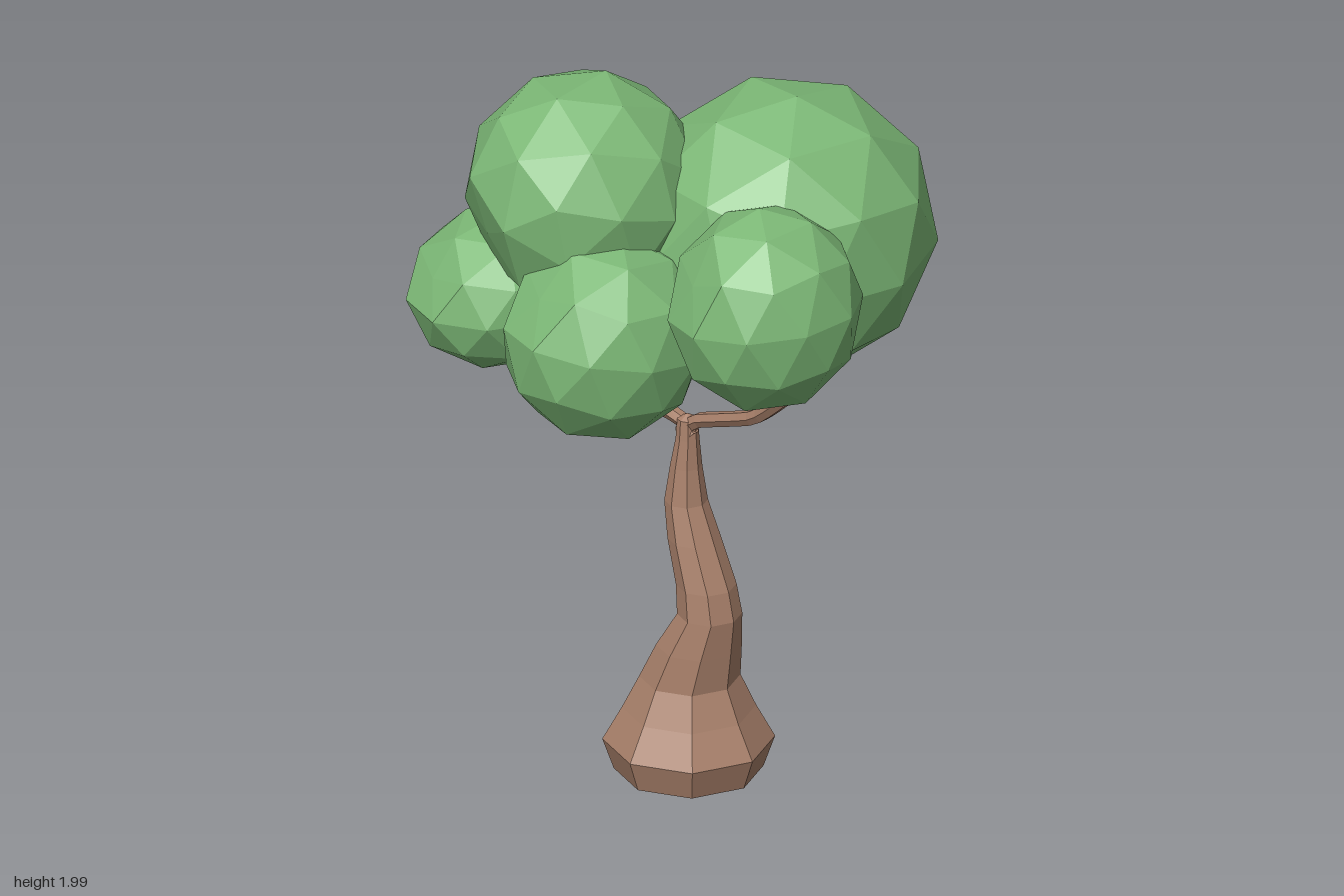
import * as THREE from 'three';

const bark = new THREE.MeshStandardMaterial({ color: 0xa8806a, flatShading: true });
const leaf = new THREE.MeshStandardMaterial({ color: 0x7cb876, flatShading: true });
const UP = new THREE.Vector3(0, 1, 0);

function add(group, name, geometry, material) {
  const mesh = new THREE.Mesh(geometry, material);
  mesh.name = name;
  group.add(mesh);
  return mesh;
}

// Eight-sided lathe whose rings [y, centreX, radius] are shifted to make the trunk sway
function trunkGeometry(rings) {
  const geo = new THREE.LatheGeometry(rings.map(([y, , r]) => new THREE.Vector2(r, y)), 8);
  const pos = geo.attributes.position;
  for (let i = 0; i < pos.count; i++) {
    pos.setX(i, pos.getX(i) + rings[i % rings.length][1]);
  }
  geo.computeVertexNormals();
  return geo;
}

// Thin bent branch through a few points, with tight corners
function branchGeometry(points) {
  const curve = new THREE.CatmullRomCurve3(points.map((p) => new THREE.Vector3(...p)), false, 'catmullrom', 0.25);
  return new THREE.TubeGeometry(curve, 14, 0.021, 6);
}

// Faceted ball with one corner pressed in, that corner turned towards the pole
function clumpGeometry(radii, pole) {
  const geo = new THREE.IcosahedronGeometry(1, 1);
  geo.rotateZ(-Math.atan(2 / (1 + Math.sqrt(5))));
  const pos = geo.attributes.position;
  for (let i = 0; i < pos.count; i++) {
    if (pos.getY(i) > 0.99) pos.setY(i, 0.88);
  }
  const direction = new THREE.Vector3(...pole).normalize();
  geo.applyQuaternion(new THREE.Quaternion().setFromUnitVectors(UP, direction));
  geo.scale(...radii);
  geo.computeVertexNormals();
  return geo;
}

export function createModel() {
  const tree = new THREE.Group();
  tree.name = 'tree';

  // Trunk: flared foot, S-bend, narrow neck below the fork
  add(tree, 'trunk', trunkGeometry([
    [0.005, 0.02, 0], [0.035, 0.02, 0.195], [0.12, 0.02, 0.225], [0.21, 0.021, 0.175],
    [0.3, 0.024, 0.132], [0.4, 0.056, 0.112], [0.5, 0.094, 0.085], [0.58, 0.082, 0.079],
    [0.7, 0.04, 0.07], [0.8, 0.011, 0.057], [0.9, 0.011, 0.042], [0.98, 0.016, 0.031],
    [1.035, 0.016, 0.027], [1.05, 0.016, 0],
  ]), bark).position.z = 0.018;

  // Branches
  add(tree, 'rightBranch', branchGeometry([
    [0.035, 0.99, 0.018], [-0.01, 1.03, 0.018], [-0.205, 1.055, 0.015], [-0.265, 1.18, 0.018], [-0.43, 1.37, 0.02],
  ]), bark);
  add(tree, 'leftBranch', branchGeometry([
    [-0.005, 0.99, 0.018], [0.05, 1.04, 0.018], [0.27, 1.125, 0.035], [0.41, 1.24, 0.06], [0.46, 1.32, 0.08],
  ]), bark);

  // Foliage clumps: name, centre, radii, pole
  const clumps = [
    ['backFoliage', [0.155, 1.555, -0.2], [0.395, 0.4, 0.415], [0.39, -0.48, -0.76]],
    ['topFoliage', [-0.2, 1.69, 0.185], [0.31, 0.315, 0.325], [-0.4, -0.3, 0.85]],
    ['leftFoliage', [0.398, 1.515, 0.135], [0.25, 0.28, 0.265], [-0.35, 0.42, 0.84]],
    ['frontFoliage', [0.005, 1.375, 0.325], [0.262, 0.28, 0.28], [-0.25, 0.6, 0.75]],
    ['rightFoliage', [-0.415, 1.365, 0.25], [0.238, 0.212, 0.285], [-0.25, 0.4, 0.88]],
    ['innerFoliage', [-0.165, 1.365, 0], [0.205, 0.205, 0.225], [0.4, 0.8, 0.5]],
  ];
  for (const [name, centre, radii, pole] of clumps) {
    add(tree, name, clumpGeometry(radii, pole), leaf).position.set(...centre);
  }
  return tree;
}
